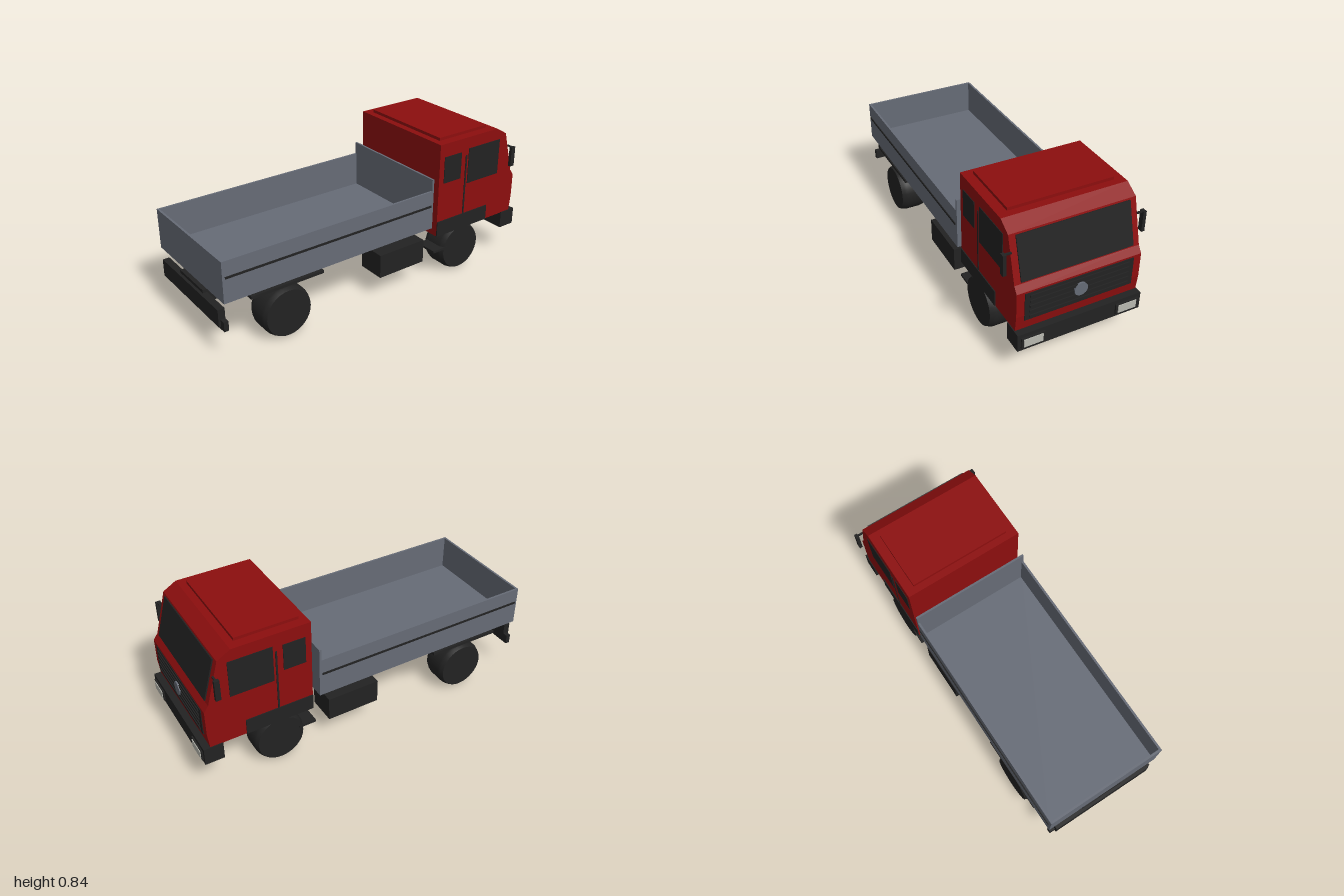
import * as THREE from 'three';

const mat = (name, color) => {
  const m = new THREE.MeshStandardMaterial({ color });
  m.name = name;
  return m;
};

export function createModel() {
  const red = mat('cab red', 0x8c0e0e);
  const black = mat('black trim', 0x222222);
  const grey = mat('bed grey', 0x666b76);
  const lamp = mat('lamp glass', 0xb8b8b0);

  const truck = new THREE.Group();
  truck.name = 'flatbedTruck';

  const add = (name, geometry, material) => {
    const mesh = new THREE.Mesh(geometry, material);
    mesh.name = name;
    truck.add(mesh);
    return mesh;
  };
  // Box given by its lower and upper limits on each axis
  const box = (name, material, [x0, x1], [y0, y1], [z0, z1]) => {
    const g = new THREE.BoxGeometry(x1 - x0, y1 - y0, z1 - z0);
    g.translate((x0 + x1) / 2, (y0 + y1) / 2, (z0 + z1) / 2);
    return add(name, g, material);
  };
  // The same box on both sides
  const pair = (name, material, [x0, x1], y, z) => {
    box(name + 'Left', material, [x0, x1], y, z);
    box(name + 'Right', material, [-x1, -x0], y, z);
  };

  // Cab: side profile (distance forward, height) extruded across the width
  const profile = [
    [0.366, 0.27], [0.95, 0.27], [0.96, 0.36], [0.96, 0.5], [0.935, 0.535],
    [0.868, 0.78], [0.795, 0.823], [0.366, 0.823],
  ].map(([u, y]) => new THREE.Vector2(u, y));
  const cab = new THREE.ExtrudeGeometry(new THREE.Shape(profile), { depth: 0.686, bevelEnabled: false });
  cab.rotateY(Math.PI / 2).translate(-0.343, 0, 0);
  add('cab', cab, red);
  box('roofPanel', red, [-0.29, 0.29], [0.82, 0.84], [-0.755, -0.405]);

  // Glass and door details
  const windscreen = add('windscreen', new THREE.BoxGeometry(0.616, 0.236, 0.009), black);
  windscreen.position.set(0, 0.6575, -0.904);
  windscreen.rotation.x = Math.atan2(0.067, 0.245);
  pair('rearSideWindow', black, [0.34, 0.346], [0.59, 0.745], [-0.525, -0.4]);
  pair('doorWindow', black, [0.34, 0.346], [0.545, 0.755], [-0.82, -0.58]);
  pair('doorGap', black, [0.34, 0.346], [0.36, 0.72], [-0.568, -0.558]);
  pair('cabSkirt', black, [0.34, 0.348], [0.27, 0.36], [-0.75, -0.366]);

  // Grille with bars and a plain round badge
  box('grille', black, [-0.3, 0.3], [0.33, 0.49], [-0.964, -0.956]);
  for (let i = 0; i < 5; i++) {
    const y = 0.35 + i * 0.03;
    box('grilleBar', black, [-0.275, 0.275], [y - 0.007, y + 0.007], [-0.97, -0.96]);
  }
  const badge = new THREE.CylinderGeometry(0.037, 0.037, 0.012, 24);
  badge.rotateX(Math.PI / 2).translate(0, 0.415, -0.968);
  add('badge', badge, grey);

  // Front bumper and headlights
  box('frontBumper', black, [-0.348, 0.348], [0.172, 0.272], [-0.988, -0.882]);
  pair('headlightFrame', black, [0.2, 0.33], [0.19, 0.25], [-0.996, -0.985]);
  pair('headlight', lamp, [0.213, 0.318], [0.197, 0.243], [-1, -0.994]);

  // Mirrors
  pair('mirrorArm', black, [0.34, 0.386], [0.694, 0.702], [-0.9, -0.89]);
  pair('mirror', black, [0.37, 0.388], [0.585, 0.702], [-0.908, -0.88]);

  // Chassis, side boxes, steps, mudguards
  box('chassis', black, [-0.125, 0.125], [0.23, 0.305], [-0.352, 0.985]);
  pair('sideBox', black, [0.18, 0.345], [0.143, 0.28], [-0.27, 0.037]);
  pair('cabStep', black, [0.21, 0.345], [0.165, 0.178], [-0.45, -0.352]);
  pair('mudguard', black, [0.18, 0.349], [0.309, 0.325], [0.41, 0.838]);

  // Rear bumper
  box('rearBeam', black, [-0.305, 0.305], [0.19, 0.288], [0.962, 1]);
  box('rearLowerBar', black, [-0.336, 0.336], [0.175, 0.23], [0.962, 0.988]);

  // Wheels: lathed tyre with bevelled shoulders
  const tyre = new THREE.LatheGeometry([
    [0, -0.078], [0.131, -0.078], [0.131, -0.078], [0.139, -0.06], [0.143, -0.045],
    [0.143, 0.045], [0.139, 0.06], [0.131, 0.078], [0.131, 0.078], [0, 0.078],
  ].map(([r, h]) => new THREE.Vector2(r, h)), 32);
  tyre.rotateZ(Math.PI / 2);
  for (const [end, z] of [['front', -0.56], ['rear', 0.623]]) {
    for (const side of [1, -1]) {
      add(end + 'Wheel' + (side > 0 ? 'Left' : 'Right'), tyre, black).position.set(side * 0.265, 0.146, z);
    }
  }

  // Open cargo bed
  box('bedFloor', grey, [-0.346, 0.346], [0.338, 0.368], [-0.32, 0.98]);
  pair('bedSide', grey, [0.336, 0.348], [0.338, 0.566], [-0.322, 0.984]);
  box('tailboard', grey, [-0.336, 0.336], [0.338, 0.566], [0.972, 0.984]);
  box('headboard', grey, [-0.348, 0.348], [0.338, 0.635], [-0.326, -0.314]);
  pair('bedStripe', black, [0.346, 0.353], [0.472, 0.483], [-0.31, 0.97]);

  return truck;
}
